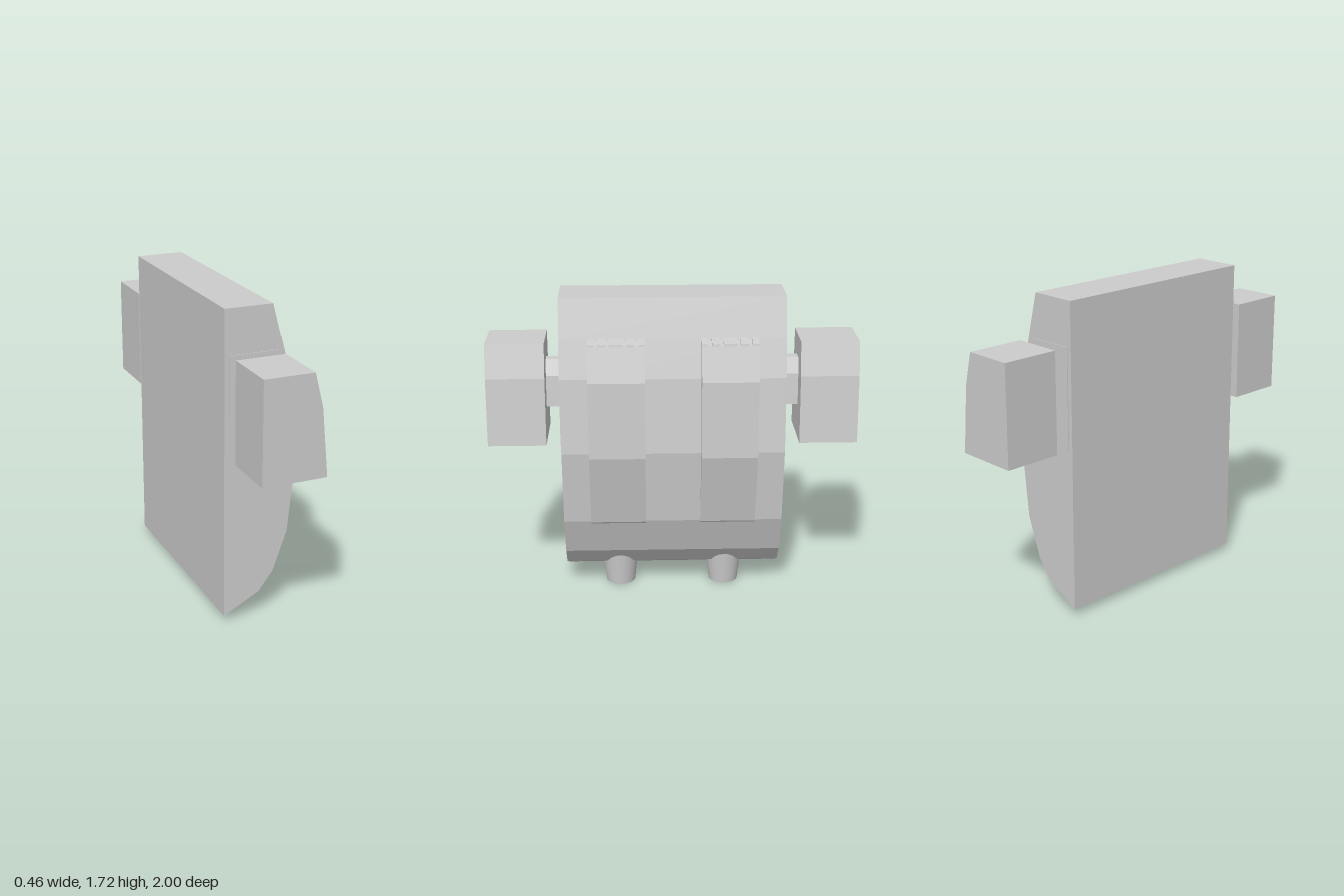
import * as THREE from 'three';

const material = new THREE.MeshStandardMaterial({ color: 0xcccccc, flatShading: true });
const smooth = new THREE.MeshStandardMaterial({ color: 0xcccccc, side: THREE.DoubleSide });

// Side profile in x-y, extruded between two z positions
function slab(name, points, z0, z1) {
  const shape = new THREE.Shape(points.map(([x, y]) => new THREE.Vector2(x, y)));
  const geometry = new THREE.ExtrudeGeometry(shape, { depth: z1 - z0, bevelEnabled: false });
  geometry.translate(0, 0, z0);
  const mesh = new THREE.Mesh(geometry, material);
  mesh.name = name;
  return mesh;
}

// Hollow tapered nozzle, mouth at its own y = 0
function nozzle(name, rMouth, rTop, height, depth, x, y, z) {
  const group = new THREE.Group();
  const inner = rMouth * 0.74;
  const sections = [
    [[inner * 0.9, depth], [inner, 0]],
    [[inner, 0], [rMouth, 0]],
    [[rMouth, 0], [rTop, height]],
    [[0, depth], [inner * 0.9, depth]],
  ];
  for (const s of sections) {
    const mesh = new THREE.Mesh(
      new THREE.LatheGeometry(s.map(([r, h]) => new THREE.Vector2(r, h)), 32), smooth);
    mesh.name = name + 'Wall';
    group.add(mesh);
  }
  group.position.set(x, y, z);
  group.name = name;
  return group;
}

export function createModel() {
  const model = new THREE.Group();
  model.name = 'thrusterPack';

  // Main body with a curved, faceted front
  model.add(slab('body', [
    [-0.23, 0.04], [-0.03, 0.145], [0.05, 0.25], [0.13, 0.47], [0.175, 0.89],
    [0.135, 1.3], [0.085, 1.51], [0.03, 1.72], [-0.23, 1.72],
  ], -0.605, 0.605));

  const podFront = [[0.145, 0.932], [0.11, 1.3], [0.065, 1.48], [-0.205, 1.48]];
  const podOutline = [[-0.205, 0.932], ...podFront];
  // Ridges between the grooves on top of each rib
  const ridges = [[0, 0.032], [0.054, 0.096], [0.113, 0.188], [0.204, 0.252], [0.268, 0.304]];

  for (const [label, s] of [['left', 1], ['right', -1]]) {
    const span = (name, points, a, b) =>
      slab(label + name, points, Math.min(s * a, s * b), Math.max(s * a, s * b));

    // Raised rib on the front
    model.add(span('Rib', [
      [0.125, 0.455], [0.132, 0.465], [0.226, 0.88], [0.205, 1.3], [0.157, 1.485],
      [0.087, 1.5], [0.07, 1.5], [0.1, 0.9],
    ], 0.151, 0.455));
    for (const [a, b] of ridges) {
      model.add(span('RibRidge', [
        [0.085, 1.495], [0.157, 1.48], [0.154, 1.497], [0.084, 1.512],
      ], 0.151 + a, 0.151 + b));
    }

    // Side plate and bracket holding the pod
    model.add(span('SidePlate', podOutline, 0.59, 0.609));
    model.add(span('Bracket', [
      [-0.09, 1.11], [0.015, 1.11], [0.0, 1.28], [-0.03, 1.365], [-0.09, 1.365],
    ], 0.6, 0.69));

    // Pod, hollow at the bottom, closed by end walls
    const pod = new THREE.Group();
    pod.name = label + 'Pod';
    pod.add(span('PodShell', [
      [-0.205, 0.932], [-0.2, 0.932], [-0.2, 0.99], [0.134, 0.99], [0.14, 0.932], ...podFront,
    ], 0.69, 0.995));
    pod.add(span('PodInnerWall', podOutline, 0.685, 0.69));
    pod.add(span('PodOuterWall', podOutline, 0.995, 1));
    pod.add(nozzle(label + 'PodNozzle', 0.095, 0.115, 0.07, 0.05, -0.03, 0.932, s * 0.843));
    model.add(pod);

    // Nozzle below the body
    model.add(nozzle(label + 'BodyNozzle', 0.083, 0.104, 0.2, 0.06, -0.095, 0, s * 0.298));
  }
  return model;
}
